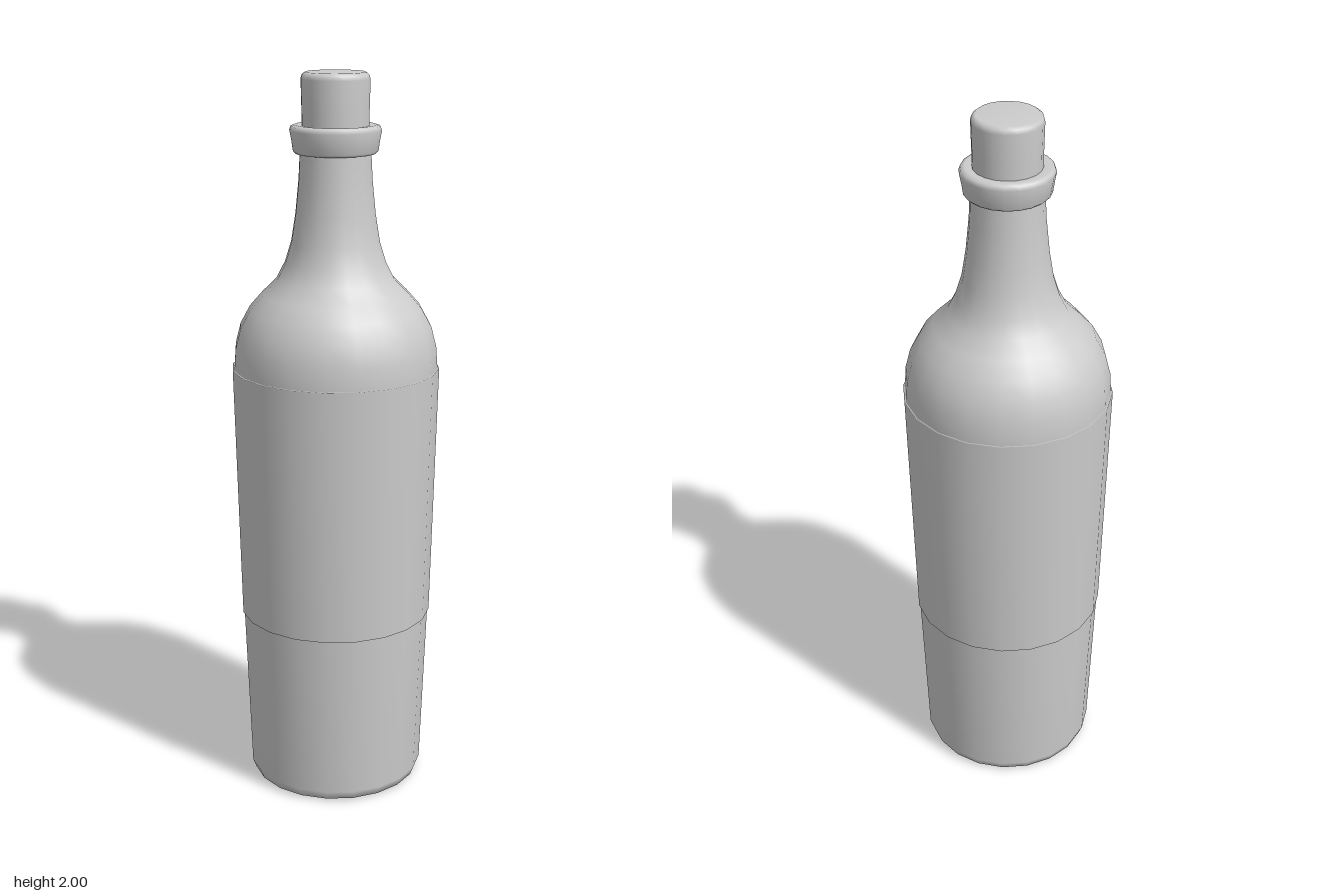
import * as THREE from 'three';

const SIDES = 20;

// Turn a list of [radius, height] points, bottom to top, around the y axis.
function turned(name, points, side = THREE.FrontSide) {
  const profile = points.map(([r, y]) => new THREE.Vector2(r, y));
  const material = new THREE.MeshStandardMaterial({ color: 0xcccccc, side });
  const mesh = new THREE.Mesh(new THREE.LatheGeometry(profile, SIDES), material);
  mesh.name = name;
  return mesh;
}

export function createModel() {
  const bottle = new THREE.Group();
  bottle.name = 'bottle';

  // Glass: hollowed base, tapered body, round shoulder and slender neck
  bottle.add(turned('glassBody', [
    [0, 0.07], [0.1, 0.06], [0.17, 0.035], [0.205, 0.008], [0.22, 0], [0.238, 0.006],
    [0.247, 0.03], [0.264, 0.5], [0.281, 1.2], [0.276, 1.27], [0.262, 1.325],
    [0.235, 1.375], [0.2, 1.415], [0.16, 1.455], [0.137, 1.5], [0.12, 1.555],
    [0.108, 1.63], [0.099, 1.72], [0.095, 1.8],
  ]));

  // Paper label wrapped round the body
  bottle.add(turned('label', [
    [0.264, 0.5], [0.268, 0.5], [0.285, 1.21], [0.28, 1.21],
  ], THREE.DoubleSide));

  // Lip ring at the mouth
  bottle.add(turned('lipRing', [
    [0.092, 1.79], [0.107, 1.79], [0.114, 1.797], [0.118, 1.825],
    [0.123, 1.85], [0.119, 1.861], [0.108, 1.865], [0.085, 1.862],
  ]));

  // Cork with a softened top edge
  bottle.add(turned('cork', [
    [0.089, 1.8], [0.09, 1.9], [0.092, 1.982], [0.089, 1.993], [0.08, 2], [0, 2],
  ]));

  return bottle;
}
